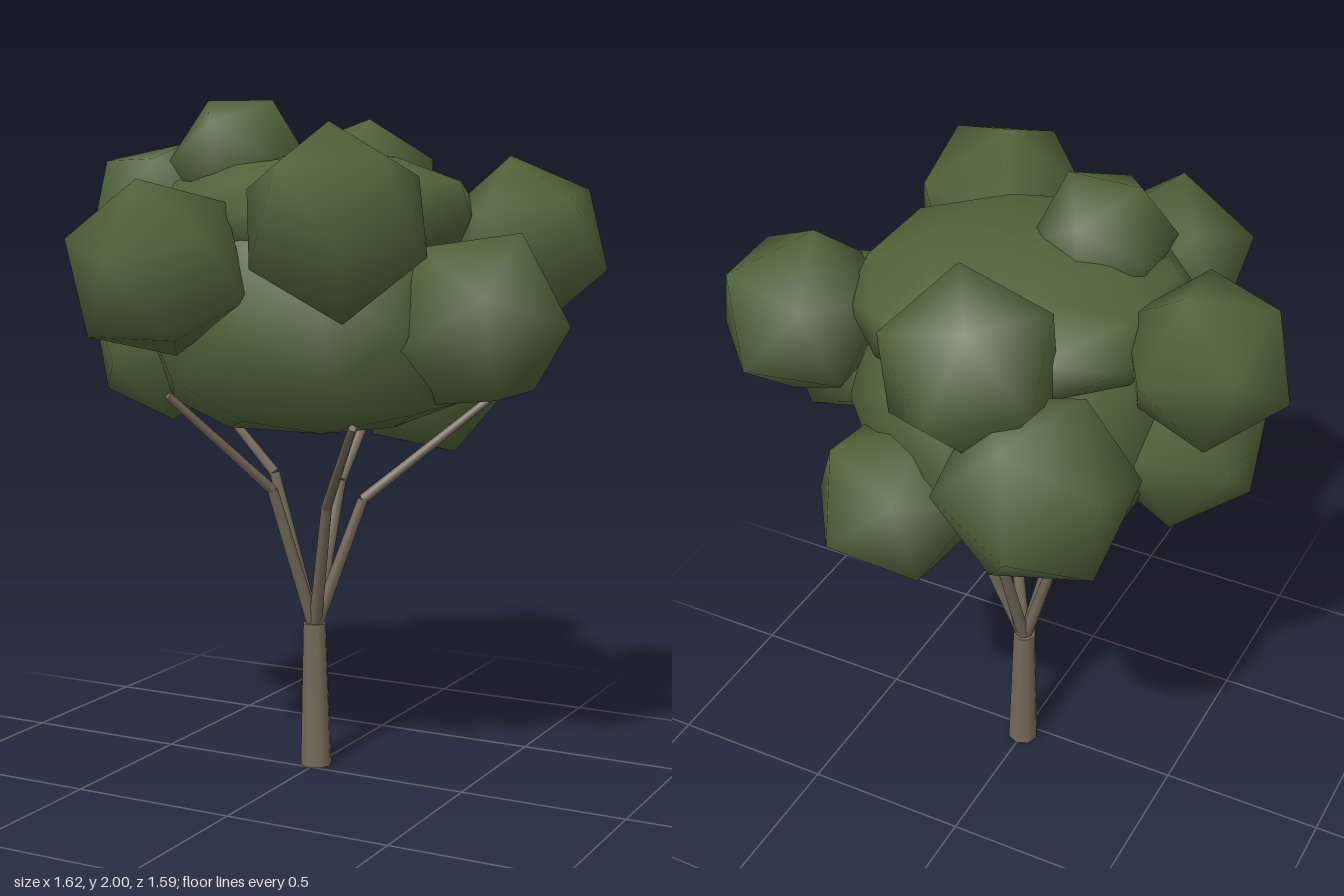
import * as THREE from 'three';
import { mergeVertices } from 'three/addons/utils/BufferGeometryUtils.js';

const V = (a) => new THREE.Vector3(...a);

// Icosahedron with shared vertices, so its normals come out smooth
function softIcosahedron(detail) {
  const g = new THREE.IcosahedronGeometry(1, detail);
  g.deleteAttribute('uv');
  g.deleteAttribute('normal');
  return mergeVertices(g, 1e-4);
}

// Orthonormal frame with its first axis along a and the second towards b
function frame(a, b) {
  const x = a.clone().normalize();
  const z = x.clone().cross(b).normalize();
  return new THREE.Matrix4().makeBasis(x, z.clone().cross(x), z);
}

// Tapered rod between two points
function rod(a, b, r0, r1, sides, material, name) {
  const d = b.clone().sub(a);
  const mesh = new THREE.Mesh(new THREE.CylinderGeometry(r1, r0, d.length(), sides), material);
  mesh.position.copy(a).addScaledVector(d, 0.5);
  mesh.quaternion.setFromUnitVectors(new THREE.Vector3(0, 1, 0), d.normalize());
  mesh.name = name;
  return mesh;
}

// Flattened foliage mass, squashed below the given floor height
function crown(name, centre, size, floor, material) {
  const g = softIcosahedron(1);
  g.scale(...size);
  const p = g.attributes.position;
  for (let i = 0; i < p.count; i++) {
    const y = p.getY(i);
    if (y < floor) p.setY(i, floor + (y - floor) * 0.25);
  }
  g.computeVertexNormals();
  const mesh = new THREE.Mesh(g, material);
  mesh.name = name;
  mesh.position.set(...centre);
  return mesh;
}

export function createModel() {
  const tree = new THREE.Group();
  tree.name = 'tree';
  const bark = new THREE.MeshStandardMaterial({ color: 0x746859 });
  bark.name = 'bark';
  const leaf = new THREE.MeshStandardMaterial({ color: 0x4f6339 });
  leaf.name = 'leaf';

  // Trunk
  const fork = V([-0.008, 0.44, -0.042]);
  tree.add(rod(V([0, 0, -0.037]), fork, 0.049, 0.036, 8, bark, 'trunk'));

  // Branches: bend and tip of each
  const branches = [
    [[-0.15, 0.89, -0.05], [-0.37, 1.11, -0.06]],
    [[-0.085, 0.86, 0.08], [-0.27, 1.16, 0.36]],
    [[0.01, 0.86, -0.18], [0.03, 1.14, -0.42]],
    [[0.09, 0.82, 0.07], [0.31, 1.1, 0.34]],
    [[0.12, 0.82, -0.11], [0.45, 1.12, -0.28]],
  ];
  const start = fork.clone().setY(0.42);
  for (const [bend, tip] of branches) {
    const branch = new THREE.Group();
    branch.name = 'branch';
    branch.add(rod(start, V(bend), 0.02, 0.016, 6, bark, 'lowerBranch'));
    branch.add(rod(V(bend), V(tip), 0.016, 0.012, 6, bark, 'upperBranch'));
    tree.add(branch);
  }

  // Main crown: a broad lower mass, nearly flat underneath, and a flatter upper one
  tree.add(crown('lowerCrown', [0.005, 1.35, -0.02], [0.49, 0.46, 0.5], -0.26, leaf));
  tree.add(crown('upperCrown', [0, 1.67, -0.04], [0.49, 0.195, 0.47], -0.195, leaf));

  // Leaf clumps: centre, radius, direction of one corner and of its neighbour
  const clumps = [
    [[0.295, 1.66, 0.415], 0.275, [-0.04, 0.25, -0.04], [0.16, 0.13, -0.2]],
    [[-0.195, 1.53, 0.53], 0.265, [0, 0.02, 0.25], [0, 0.26, 0.05]],
    [[0.56, 1.59, -0.28], 0.255, [0.22, -0.07, -0.04], [0.08, 0.2, -0.15]],
    [[0.53, 1.38, 0], 0.28, [0.17, -0.005, 0], [0, 0.27, 0]],
    [[-0.58, 1.66, -0.11], 0.245, [-0.21, -0.07, 0.01], [-0.1, 0.1, -0.21]],
    [[-0.47, 1.29, 0.03], 0.255, [-0.2, -0.16, 0.05], [-0.2, 0.1, 0.1]],
    [[-0.185, 1.825, 0.09], 0.205, [-0.1, 0.165, 0], [0.1, 0.165, 0]],
    [[-0.29, 1.42, -0.525], 0.28, [-0.04, -0.04, -0.25], [0.2, 0, -0.2]],
    [[-0.075, 1.715, -0.48], 0.262, [0, -0.04, -0.23], [-0.07, 0.2, -0.02]],
    [[0.19, 1.17, -0.43], 0.255, [0.09, -0.05, -0.21], [0.05, -0.2, 0]],
  ];
  const clumpGeometry = softIcosahedron(0);
  clumpGeometry.computeVertexNormals();
  const t = (1 + Math.sqrt(5)) / 2;
  const rest = frame(V([-1, t, 0]), V([1, t, 0])).invert();
  for (const [centre, radius, corner, neighbour] of clumps) {
    const clump = new THREE.Mesh(clumpGeometry, leaf);
    clump.name = 'leafClump';
    clump.position.set(...centre);
    clump.scale.setScalar(radius);
    clump.quaternion.setFromRotationMatrix(frame(V(corner), V(neighbour)).multiply(rest));
    tree.add(clump);
  }
  return tree;
}
